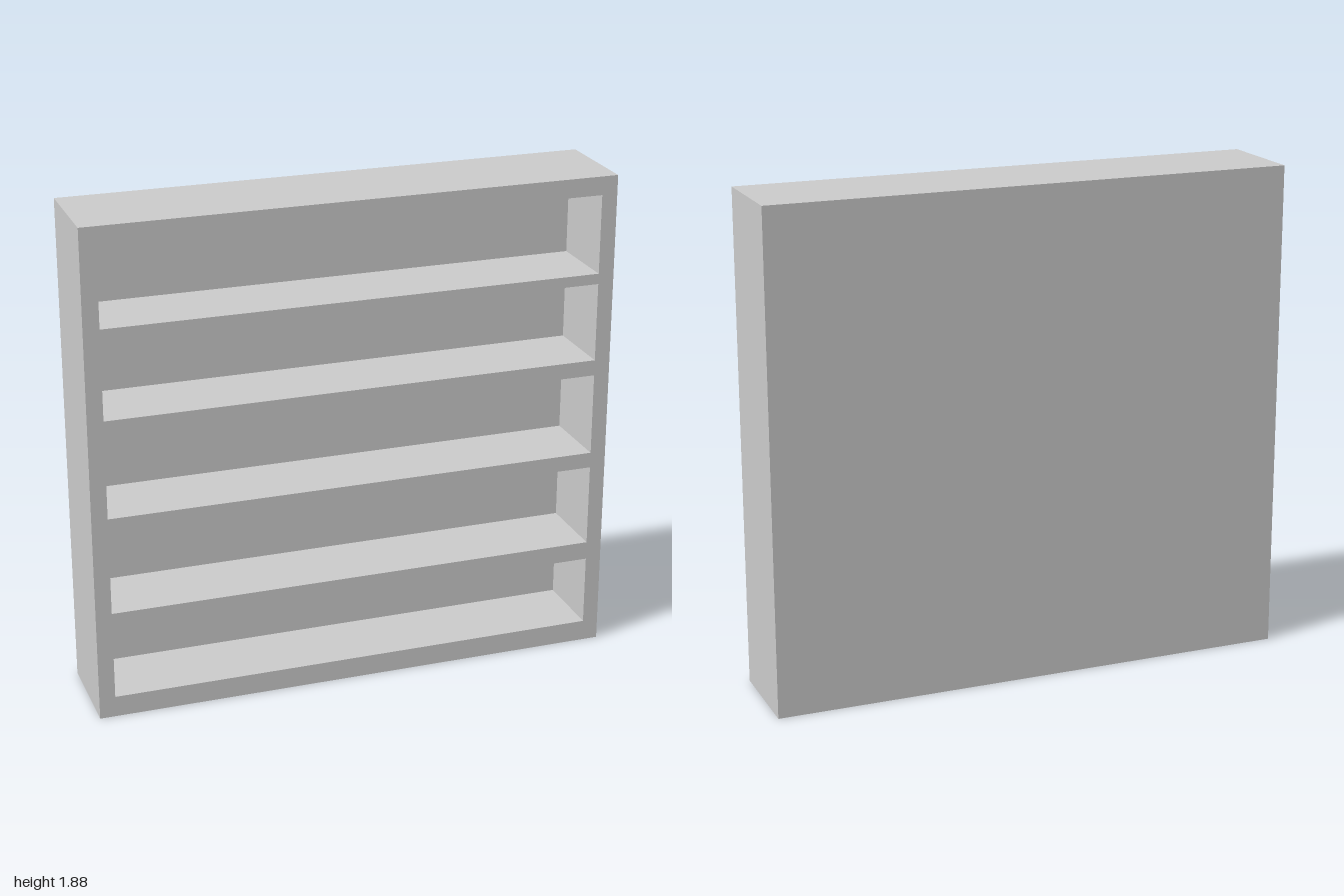
import * as THREE from 'three';

const W = 2, H = 1.88, D = 0.375;
const RECESS = 0.29; // depth of the compartments
const INNER = 0.94; // half width of each opening
// bottom and top of each opening
const OPENINGS = [[0.08, 0.35], [0.42, 0.735], [0.795, 1.11], [1.17, 1.47], [1.51, 1.81]];

function rectangle(target, x, y0, y1) {
  target.moveTo(-x, y0);
  target.lineTo(x, y0);
  target.lineTo(x, y1);
  target.lineTo(-x, y1);
  target.closePath();
  return target;
}

export function createModel() {
  const group = new THREE.Group();
  group.name = 'shelfUnit';
  const material = new THREE.MeshStandardMaterial({ color: 0xcccccc });

  // Outer frame and shelves, with the five compartments cut through
  const outline = rectangle(new THREE.Shape(), W / 2, 0, H);
  for (const [y0, y1] of OPENINGS) outline.holes.push(rectangle(new THREE.Path(), INNER, y0, y1));
  const frame = new THREE.Mesh(
    new THREE.ExtrudeGeometry(outline, { depth: RECESS, bevelEnabled: false }), material);
  frame.name = 'frameAndShelves';
  frame.position.z = D / 2 - RECESS;
  group.add(frame);

  // Solid back closing the compartments
  const thickness = D - RECESS;
  const back = new THREE.Mesh(new THREE.BoxGeometry(W, H, thickness), material);
  back.name = 'backPanel';
  back.position.set(0, H / 2, -D / 2 + thickness / 2);
  group.add(back);

  return group;
}
